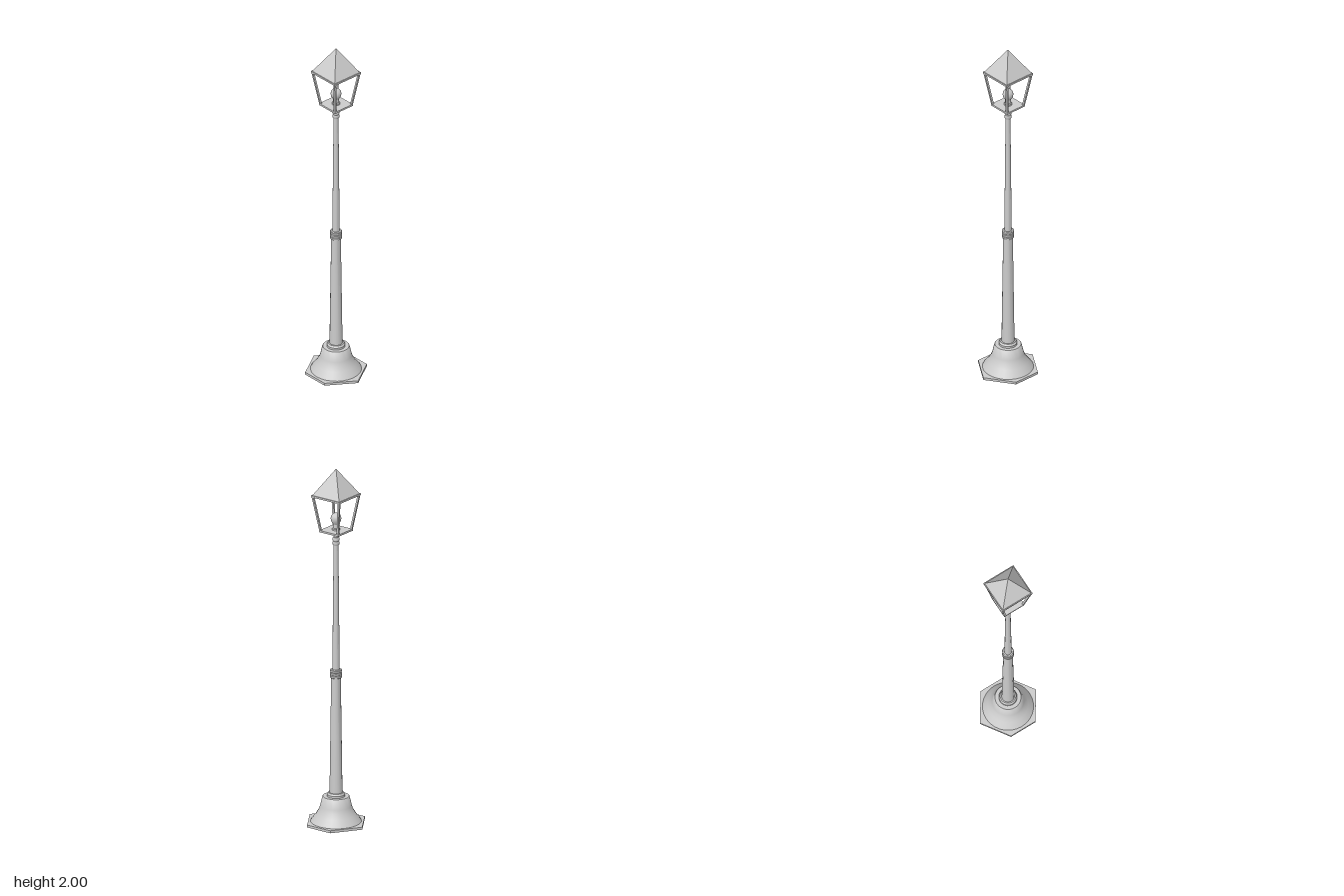
import * as THREE from 'three';
import { toCreasedNormals } from 'three/addons/utils/BufferGeometryUtils.js';

const material = new THREE.MeshStandardMaterial({ color: 0xcccccc });

export function createModel() {
  const model = new THREE.Group();
  model.name = 'streetLamp';

  const add = (name, geometry, y = 0, parent = model) => {
    const mesh = new THREE.Mesh(geometry, material);
    mesh.name = name;
    mesh.position.y = y;
    parent.add(mesh);
    return mesh;
  };
  // Turned part from [radius, height] pairs, listed bottom to top
  const turned = (name, points, segments = 28, parent = model) => {
    const profile = points.map(([r, y]) => new THREE.Vector2(r, y));
    return add(name, toCreasedNormals(new THREE.LatheGeometry(profile, segments), 0.6), 0, parent);
  };
  // Stack of rounded rings, closed at both ends
  const rings = (name, radius, y0, y1, count) => {
    const h = (y1 - y0) / count;
    const points = [[0, y0]];
    for (let i = 0; i < count; i++) {
      const y = y0 + i * h;
      points.push([radius * 0.86, y], [radius, y + h * 0.2], [radius, y + h * 0.8], [radius * 0.86, y + h]);
    }
    points.push([0, y1]);
    turned(name, points, 24);
  };

  // Hexagonal foot plate
  const hexagon = new THREE.Shape(
    [[0, -0.177], [0.151, -0.078], [0.151, 0.078], [0, 0.177], [-0.151, 0.078], [-0.151, -0.078]]
      .map(([x, y]) => new THREE.Vector2(x, y)));
  const plate = new THREE.ExtrudeGeometry(hexagon, { depth: 0.014, bevelEnabled: false });
  add('footPlate', plate.rotateX(-Math.PI / 2));

  // Flared pedestal and its shoulder ring
  turned('pedestal', [[0, 0.014], [0.137, 0.014], [0.131, 0.024], [0.108, 0.053],
    [0.092, 0.08], [0.085, 0.1], [0.073, 0.152], [0.07, 0.155], [0, 0.155]]);
  turned('pedestalRing', [[0, 0.155], [0.049, 0.155], [0.049, 0.166], [0.042, 0.176], [0, 0.176]]);

  // Tapered pole in two stages with ringed collars
  turned('lowerPole', [[0.035, 0.17], [0.026, 0.825]], 16);
  rings('middleCollar', 0.032, 0.822, 0.87, 3);
  turned('upperPole', [[0.02, 0.86], [0.013, 1.58]], 16);
  rings('topCollar', 0.018, 1.57, 1.615, 2);
  turned('lanternNeck', [[0, 1.61], [0.012, 1.61], [0.01, 1.622], [0.012, 1.632], [0.022, 1.648], [0, 1.648]], 20);

  // Lantern
  const lantern = new THREE.Group();
  lantern.name = 'lantern';
  model.add(lantern);
  add('lanternFloor', new THREE.BoxGeometry(0.128, 0.01, 0.128), 1.651, lantern);

  // Corner posts, sheared outward towards the top
  const low = 1.652, high = 1.85, bar = 0.011;
  for (const sx of [-1, 1]) for (const sz of [-1, 1]) {
    const post = new THREE.BoxGeometry(bar, high - low, bar).translate(0, (high + low) / 2, 0);
    const p = post.attributes.position;
    for (let i = 0; i < p.count; i++) {
      const offset = p.getY(i) > 1.75 ? 0.088 : 0.058;
      p.setX(i, p.getX(i) + sx * offset);
      p.setZ(i, p.getZ(i) + sz * offset);
    }
    post.computeVertexNormals();
    add('cornerPost', post, 0, lantern);
  }

  // Eaves frame and closed pyramid roof
  add('eaves', new THREE.BoxGeometry(0.19, 0.01, 0.19), 1.85, lantern);
  const roof = new THREE.ConeGeometry(0.09 * Math.SQRT2, 0.145, 4).rotateY(Math.PI / 4).toNonIndexed();
  roof.computeVertexNormals();
  add('roof', roof, 1.9275, lantern);

  // Socket and bulb
  turned('bulbSocket', [[0, 1.656], [0.021, 1.656], [0.021, 1.664], [0.016, 1.668], [0.016, 1.69], [0, 1.69]], 20, lantern);
  turned('bulb', [[0.014, 1.685], [0.018, 1.692], [0.026, 1.705], [0.029, 1.72],
    [0.026, 1.735], [0.018, 1.745], [0.009, 1.75], [0, 1.751]], 20, lantern);

  return model;
}
